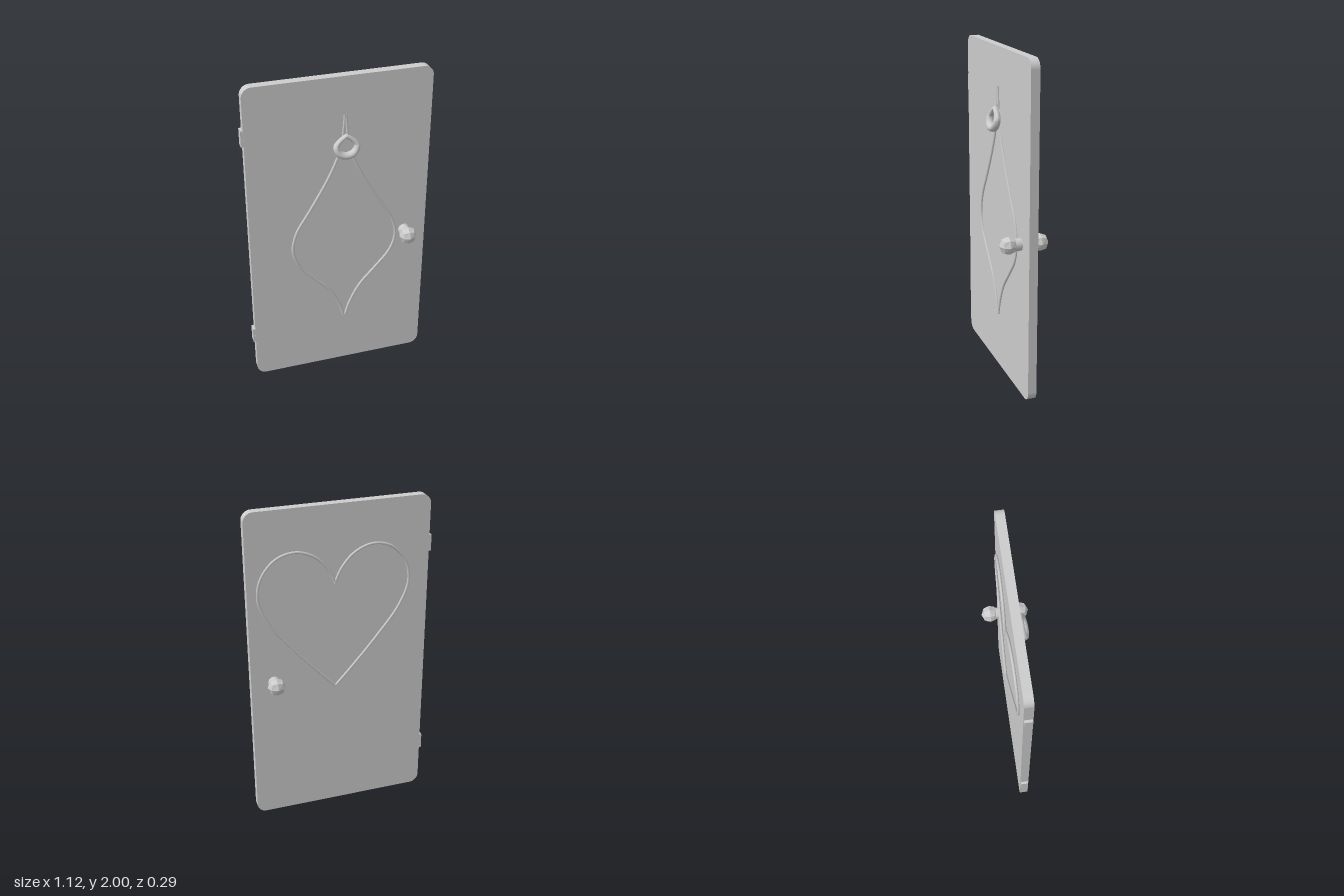
import * as THREE from 'three';

const grey = new THREE.MeshStandardMaterial({ color: 0xcccccc, side: THREE.DoubleSide });
const faceted = new THREE.MeshStandardMaterial({ color: 0xcccccc, flatShading: true });
const W = 1.1, H = 2, T = 0.052;   // door width, height, thickness
const CX = 0.032;                  // ornament centre line

function add(parent, name, geometry, material = grey) {
  const mesh = new THREE.Mesh(geometry, material);
  mesh.name = name;
  parent.add(mesh);
  return mesh;
}

// Wire bent through [x offset, y] points; side mirrors it about the centre line
function wire(parent, name, points, side, radius, zAt) {
  const curve = new THREE.CatmullRomCurve3(
    points.map(([x, y]) => new THREE.Vector3(CX + side * x, y, zAt(x))), false, 'centripetal');
  return add(parent, name, new THREE.TubeGeometry(curve, points.length * 7, radius, 8));
}

function panelGeometry() {
  const r = 0.058, x = W / 2, s = new THREE.Shape();
  s.moveTo(-x + r, 0);
  s.lineTo(x - r, 0).absarc(x - r, r, r, -Math.PI / 2, 0);
  s.lineTo(x, H - r).absarc(x - r, H - r, r, 0, Math.PI / 2);
  s.lineTo(-x + r, H).absarc(-x + r, H - r, r, Math.PI / 2, Math.PI);
  s.lineTo(-x, r).absarc(-x + r, r, r, Math.PI, Math.PI * 1.5);
  return new THREE.ExtrudeGeometry(s, { depth: T, bevelEnabled: false, curveSegments: 8 })
    .translate(0, 0, -T / 2);
}

// Cube pushed out to a coarse ball
function knobGeometry(radius) {
  const g = new THREE.BoxGeometry(2, 2, 2, 2, 2, 2), p = g.attributes.position;
  const v = new THREE.Vector3();
  for (let i = 0; i < p.count; i++) {
    v.fromBufferAttribute(p, i).setLength(radius);
    p.setXYZ(i, v.x, v.y, v.z);
  }
  return g;
}

// Torus reshaped to a drop: pointed and thin on top, round and thick below
function dropRingGeometry() {
  const g = new THREE.TorusGeometry(1, 0.5, 14, 48), p = g.attributes.position;
  for (let i = 0; i < p.count; i++) {
    const x = p.getX(i), y = p.getY(i), rho = (Math.hypot(x, y) - 1) / 0.5;
    const a = Math.atan2(y, x), c = Math.cos(a), s = Math.sin(a);
    const thick = 0.017 - 0.004 * s;
    const py = s > 0 ? 0.06 * (0.4 * s + 0.6 * (1 - Math.abs(c))) : 0.056 * s;
    p.setXYZ(i, 0.062 * c + rho * thick * c, py + rho * thick * s,
      (p.getZ(i) / 0.5) * thick * 1.25 - 0.009 * s);
  }
  g.computeVertexNormals();
  return g;
}

export function createModel() {
  const root = new THREE.Group();
  root.name = 'door';
  // The door stands slightly ajar
  const door = new THREE.Group();
  door.name = 'doorLeaf';
  door.position.set(0.005, 0, 0.0125);
  door.rotation.y = 0.057;
  root.add(door);

  add(door, 'panel', panelGeometry());

  // Hinges on the right-hand edge
  for (const y of [0.315, 1.7]) {
    add(door, 'hinge', new THREE.BoxGeometry(0.04, 0.1, 0.046)).position.set(-W / 2 + 0.005, y, 0);
  }

  // Knobs on both faces, joined by a spindle
  for (const z of [0.1, -0.087]) {
    add(door, z > 0 ? 'frontKnob' : 'backKnob', knobGeometry(0.054), faceted).position.set(0.412, 0.937, z);
  }
  add(door, 'spindle', new THREE.CylinderGeometry(0.036, 0.036, 0.13, 16).rotateX(Math.PI / 2))
    .position.set(0.412, 0.937, 0.006);

  // Front ornament: curved diamond, tip strands and drop ring
  const diamond = [[0.004, 0.35], [0.035, 0.45], [0.1, 0.575], [0.2, 0.69], [0.29, 0.8], [0.324, 0.91],
    [0.3, 1.03], [0.215, 1.175], [0.125, 1.33], [0.075, 1.43], [0.044, 1.505]];
  const tip = [[0.014, 1.64], [0.008, 1.71], [0.004, 1.77]];
  // Back ornament: heart
  const heart = [[0, 0.853], [0.1, 0.96], [0.265, 1.15], [0.4, 1.33], [0.457, 1.48], [0.435, 1.61],
    [0.345, 1.715], [0.23, 1.745], [0.12, 1.705], [0.04, 1.62], [-0.003, 1.53]];
  for (const side of [1, -1]) {
    wire(door, 'diamondWire', diamond, side, 0.009, () => T / 2 + 0.002);
    wire(door, 'tipWire', tip, side, 0.007, () => T / 2 + 0.004);
    wire(door, 'heartWire', heart, side, 0.008, x => -T / 2 - 0.014 + 0.018 * Math.abs(x));
  }
  add(door, 'dropRing', dropRingGeometry()).position.set(CX, 1.585, T / 2 + 0.03);

  return root;
}
